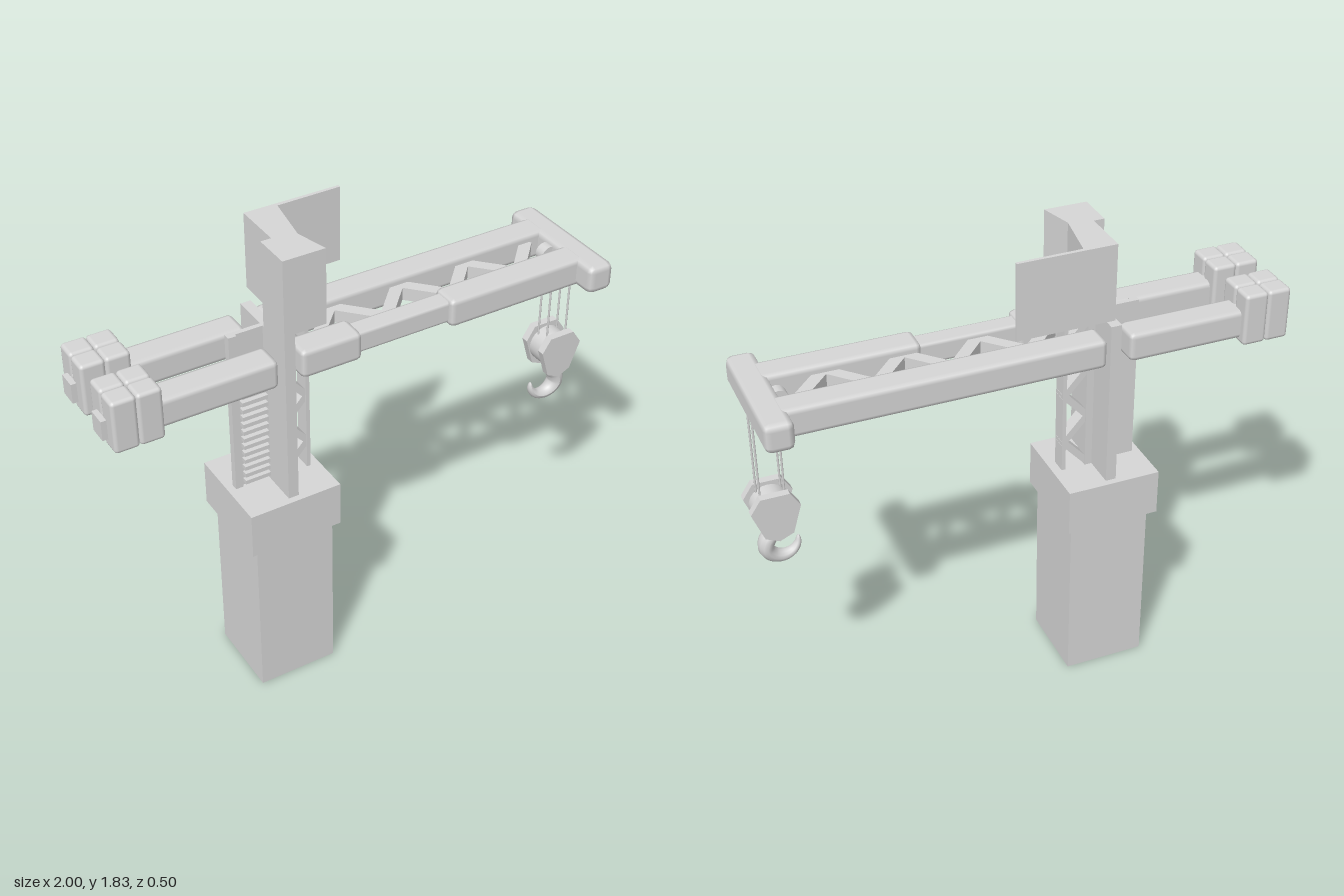
import * as THREE from 'three';
import { RoundedBoxGeometry } from 'three/addons/geometries/RoundedBoxGeometry.js';

export function createModel() {
  const model = new THREE.Group();
  model.name = 'towerCrane';
  const grey = new THREE.MeshStandardMaterial({ color: 0xd5d5d5 });
  grey.name = 'lightGrey';

  const add = (name, geometry, parent = model) => {
    const mesh = new THREE.Mesh(geometry, grey);
    mesh.name = name;
    parent.add(mesh);
    return mesh;
  };
  const group = (name) => {
    const g = new THREE.Group();
    g.name = name;
    model.add(g);
    return g;
  };
  // Box given by its limits on each axis
  const box = (name, x0, x1, y0, y1, z0, z1, parent) =>
    add(name, new THREE.BoxGeometry(x1 - x0, y1 - y0, z1 - z0)
      .translate((x0 + x1) / 2, (y0 + y1) / 2, (z0 + z1) / 2), parent);
  // Box with softened edges, given the same way
  const softBox = (name, x0, x1, y0, y1, z0, z1, radius, parent) =>
    add(name, new RoundedBoxGeometry(x1 - x0, y1 - y0, z1 - z0, 1, radius)
      .translate((x0 + x1) / 2, (y0 + y1) / 2, (z0 + z1) / 2), parent);
  const extrude = (pts, depth) =>
    new THREE.ExtrudeGeometry(new THREE.Shape(pts.map(([a, b]) => new THREE.Vector2(a, b))),
      { depth, bevelEnabled: false });
  // Flat bar between two points, thin along the given normal
  const strut = (name, a, b, width, depth, normal, parent) => {
    const from = new THREE.Vector3(...a), to = new THREE.Vector3(...b);
    const mesh = add(name, new THREE.BoxGeometry(width, from.distanceTo(to), depth), parent);
    const dir = to.clone().sub(from).normalize();
    const across = new THREE.Vector3().crossVectors(dir, normal);
    mesh.quaternion.setFromRotationMatrix(new THREE.Matrix4().makeBasis(across, dir, normal));
    mesh.position.copy(from).add(to).multiplyScalar(0.5);
  };
  const UP = new THREE.Vector3(0, 1, 0), FRONT = new THREE.Vector3(0, 0, 1);

  // Foundation
  box('baseColumn', -0.473, -0.162, 0, 0.68, -0.155, 0.155);
  box('baseCap', -0.502, -0.142, 0.675, 0.855, -0.18, 0.18);

  // Mast: cross plate, rear web with rungs, front lattice
  const mast = group('mast');
  box('crossPlate', -0.338, -0.298, 0.85, 1.5, -0.155, 0.155, mast);
  box('tallPlate', -0.338, -0.298, 1.5, 1.83, 0.01, 0.155, mast);
  box('rearWeb', -0.473, -0.338, 0.85, 1.5, -0.015, 0.003, mast);
  box('rearEdge', -0.473, -0.443, 0.85, 1.5, 0.003, 0.013, mast);
  for (let i = 0; i < 16; i++) {
    const y = 0.87 + i * 0.031;
    box('rung', -0.438, -0.338, y, y + 0.016, 0.003, 0.025, mast);
  }
  box('latticePost', -0.298, -0.27, 0.85, 1.5, -0.03, 0.03, mast);
  box('latticePost', -0.192, -0.177, 0.85, 1.5, -0.03, 0.03, mast);
  box('latticeTop', -0.277, -0.177, 1.48, 1.5, -0.03, 0.03, mast);
  for (let i = 0; i < 6; i++) {
    const y = 0.87 + i * 0.1, left = -0.277, right = -0.186;
    const [xa, xb] = i % 2 ? [right, left] : [left, right];
    strut('latticeBrace', [xa, y, 0], [xb, y + 0.1, 0], 0.026, 0.05, FRONT, mast);
  }

  // Cab: chevron-faced block and the wide rear panel
  const plan = [[-0.298, -0.155], [-0.177, -0.155], [-0.21, -0.03], [-0.177, 0.165],
    [0.068, 0.168], [0.068, 0.18], [-0.298, 0.18]];
  add('cab', extrude(plan, 0.29).rotateX(-Math.PI / 2).translate(0, 1.54, 0));

  // Jib and counter-jib beams
  const jib = group('jib');
  const Y0 = 1.352, Y1 = 1.463, R = 0.02;
  softBox('frontBeamInner', -0.278, -0.042, Y0, Y1, 0.055, 0.168, R, jib);
  softBox('frontBeamSleeve', -0.06, 0.34, 1.366, 1.45, 0.068, 0.147, 0.013, jib);
  softBox('frontBeamOuter', 0.32, 0.9, Y0, Y1, 0.055, 0.168, R, jib);
  softBox('rearBeam', -0.278, 0.9, Y0, Y1, -0.178, -0.067, R, jib);
  for (const z of [0.112, -0.122])
    softBox('counterBeam', -0.98, -0.365, Y0, Y1, z - 0.056, z + 0.056, R, jib);

  // Flat zigzag bracing between the jib beams
  for (let i = 0; i < 7; i++) {
    const x = -0.17 + i * 0.14, s = i % 2 ? -1 : 1;
    strut('jibBrace', [x, 1.407, 0.075 * s], [x + 0.14, 1.407, -0.075 * s], 0.045, 0.05, UP, jib);
  }

  // End bar and its pulley
  softBox('endBar', 0.862, 0.967, 1.353, 1.463, -0.25, 0.25, 0.025, jib);
  add('jibPulley', new THREE.CylinderGeometry(0.035, 0.035, 0.04, 16)
    .rotateX(Math.PI / 2).translate(0.853, 1.41, 0), jib);

  // Counterweights: two blocks by two blocks on each beam
  const weights = group('counterweights');
  for (const z of [0.112, -0.122]) {
    for (const x of [-0.935, -0.845])
      for (const side of [-1, 1])
        add('weightBlock', new RoundedBoxGeometry(0.09, 0.2, 0.083, 2, 0.014)
          .translate(x, 1.435, z + side * 0.042), weights);
    box('beamStub', -1, -0.97, 1.37, 1.445, z - 0.035, z + 0.035, weights);
  }

  // Cables
  const hoist = group('hoist');
  for (const x of [0.867, 0.954])
    for (const z of [-0.025, 0.028])
      add('cable', new THREE.CylinderGeometry(0.004, 0.004, 0.34, 6).translate(x, 1.2, z), hoist);

  // Hook block: two side plates around a pulley
  const plate = [[0.858, 1.06], [0.823, 1.005], [0.856, 0.895], [0.908, 0.872],
    [0.958, 0.895], [1, 1.005], [0.963, 1.06]].reverse();
  for (const z of [-0.066, 0.036])
    add('blockPlate', extrude(plate, 0.03).translate(0, 0, z), hoist);
  add('blockPulley', new THREE.CylinderGeometry(0.072, 0.072, 0.076, 24)
    .rotateX(Math.PI / 2).translate(0.911, 0.975, 0), hoist);

  // Hook: a tube whose radius swells at the bend and shrinks to the tip
  const path = new THREE.CatmullRomCurve3([
    [0.91, 0.92], [0.917, 0.875], [0.94, 0.84], [0.944, 0.805], [0.922, 0.775], [0.887, 0.763],
    [0.852, 0.773], [0.83, 0.802], [0.826, 0.835]].map(([x, y]) => new THREE.Vector3(x, y, 0)));
  const steps = 40, sides = 12;
  const hook = new THREE.TubeGeometry(path, steps, 0.031, sides);
  const pos = hook.attributes.position, v = new THREE.Vector3();
  for (let i = 0; i <= steps; i++) {
    const t = i / steps, centre = path.getPointAt(t);
    const k = t < 0.6 ? 0.75 + 0.2 * Math.sin(t / 0.6 * Math.PI) : 0.75 * Math.sqrt((1 - t) / 0.4);
    for (let j = 0; j <= sides; j++) {
      const n = i * (sides + 1) + j;
      v.fromBufferAttribute(pos, n).sub(centre).multiplyScalar(Math.max(k, 0.02));
      pos.setXYZ(n, centre.x + v.x, centre.y + v.y, v.z * 1.25);
    }
  }
  hook.computeVertexNormals();
  add('hook', hook, hoist);

  return model;
}
